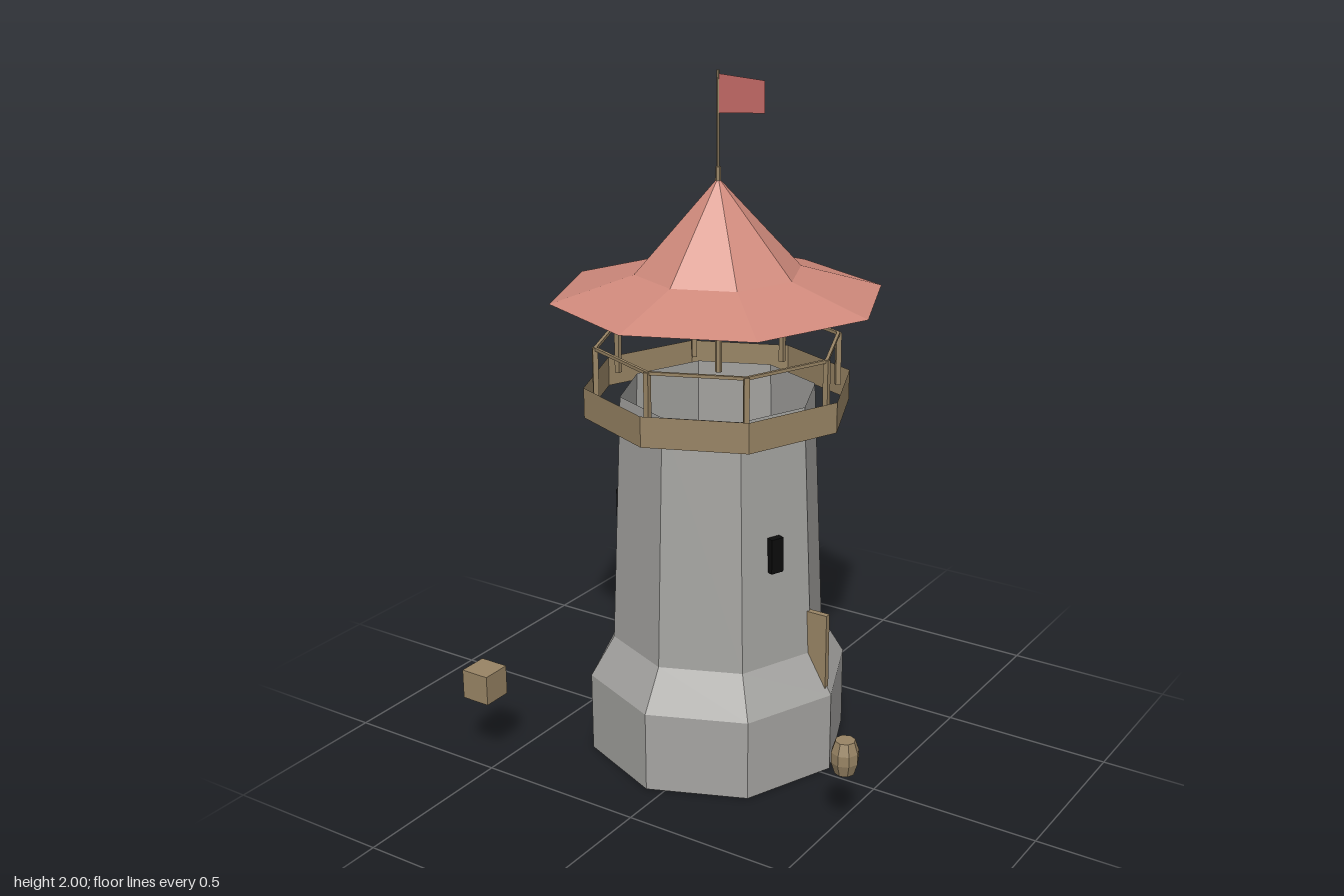
import * as THREE from 'three';

const paint = (name, color) => {
  const m = new THREE.MeshStandardMaterial({ color, flatShading: true, side: THREE.DoubleSide });
  m.name = name;
  return m;
};

export function createModel() {
  const stone = paint('stone', 0xa6a5a2);
  const wood = paint('wood', 0x998565);
  const tile = paint('roofTile', 0xd08a7c);
  const cloth = paint('flagCloth', 0xc76c68);
  const dark = paint('windowDark', 0x0c0c0c);

  const model = new THREE.Group();
  model.name = 'watchtower';
  const tower = new THREE.Group();
  tower.name = 'tower';
  tower.position.set(-0.05, 0, -0.033);
  model.add(tower);

  const add = (parent, name, geometry, material, x = 0, y = 0, z = 0, turn = 0) => {
    const mesh = new THREE.Mesh(geometry, material);
    mesh.name = name;
    mesh.position.set(x, y, z);
    mesh.rotation.y = turn;
    parent.add(mesh);
    return mesh;
  };
  // Eight-sided turned shell from [radius, height] pairs, bottom to top
  const shell = (points) =>
    new THREE.LatheGeometry(points.map(([r, y]) => new THREE.Vector2(r, y)), 8);

  // Open stone body, deck band and flared roof
  add(tower, 'body', shell([[0.385, 0], [0.385, 0.24], [0.315, 0.36], [0.283, 1.1]]), stone);
  add(tower, 'deckBand', shell([[0.385, 1.045], [0.385, 1.133]]), wood);
  add(tower, 'roof', shell([[0.473, 1.38], [0.237, 1.45], [0, 1.71]]), tile);

  // Railing: a post at each corner, a rail along each side
  const railing = new THREE.Group();
  railing.name = 'railing';
  tower.add(railing);
  for (let i = 0; i < 8; i++) {
    const a = (i * Math.PI) / 4;
    const b = a + Math.PI / 8;
    add(railing, 'post', new THREE.BoxGeometry(0.015, 0.155, 0.015), wood,
      0.35 * Math.sin(a), 1.17, 0.35 * Math.cos(a), a);
    add(railing, 'rail', new THREE.BoxGeometry(0.27, 0.009, 0.009), wood,
      0.323 * Math.sin(b), 1.245, 0.323 * Math.cos(b), b);
  }

  // Roof post, flagpole and flag
  add(tower, 'roofPost', new THREE.CylinderGeometry(0.008, 0.01, 0.585, 6), wood, 0, 1.447, 0);
  add(tower, 'flagpole', new THREE.CylinderGeometry(0.004, 0.004, 0.27, 6), wood, 0, 1.865, 0);
  const flag = new THREE.Shape([[0.003, 1.885], [0.147, 1.897], [0.147, 1.983], [0.003, 1.99]]
    .map(([x, y]) => new THREE.Vector2(x, y)));
  add(tower, 'flag', new THREE.ShapeGeometry(flag), cloth);

  // Window slits, each turned with its wall face
  [[-0.238, 0.75, 0.15, -67.5], [0.262, 0.695, 0.115, 67.5], [-0.052, 0.81, -0.29, 202.5]]
    .forEach(([x, y, z, deg]) => add(tower, 'window',
      new THREE.BoxGeometry(0.04, 0.103, 0.022), dark, x, y, z, THREE.MathUtils.degToRad(deg)));

  // Door leaf standing out from the side corner
  add(tower, 'door', new THREE.BoxGeometry(0.13, 0.23, 0.018), wood, 0.305, 0.375, 0);

  // Crate and barrel
  add(model, 'crate', new THREE.BoxGeometry(0.089, 0.089, 0.089), wood, -0.544, 0.253, 0.46);
  add(model, 'barrel',
    shell([[0, 0.2], [0.028, 0.2], [0.039, 0.235], [0.039, 0.265], [0.028, 0.298], [0, 0.298]]),
    wood, 0.545, 0, 0.262);

  return model;
}
